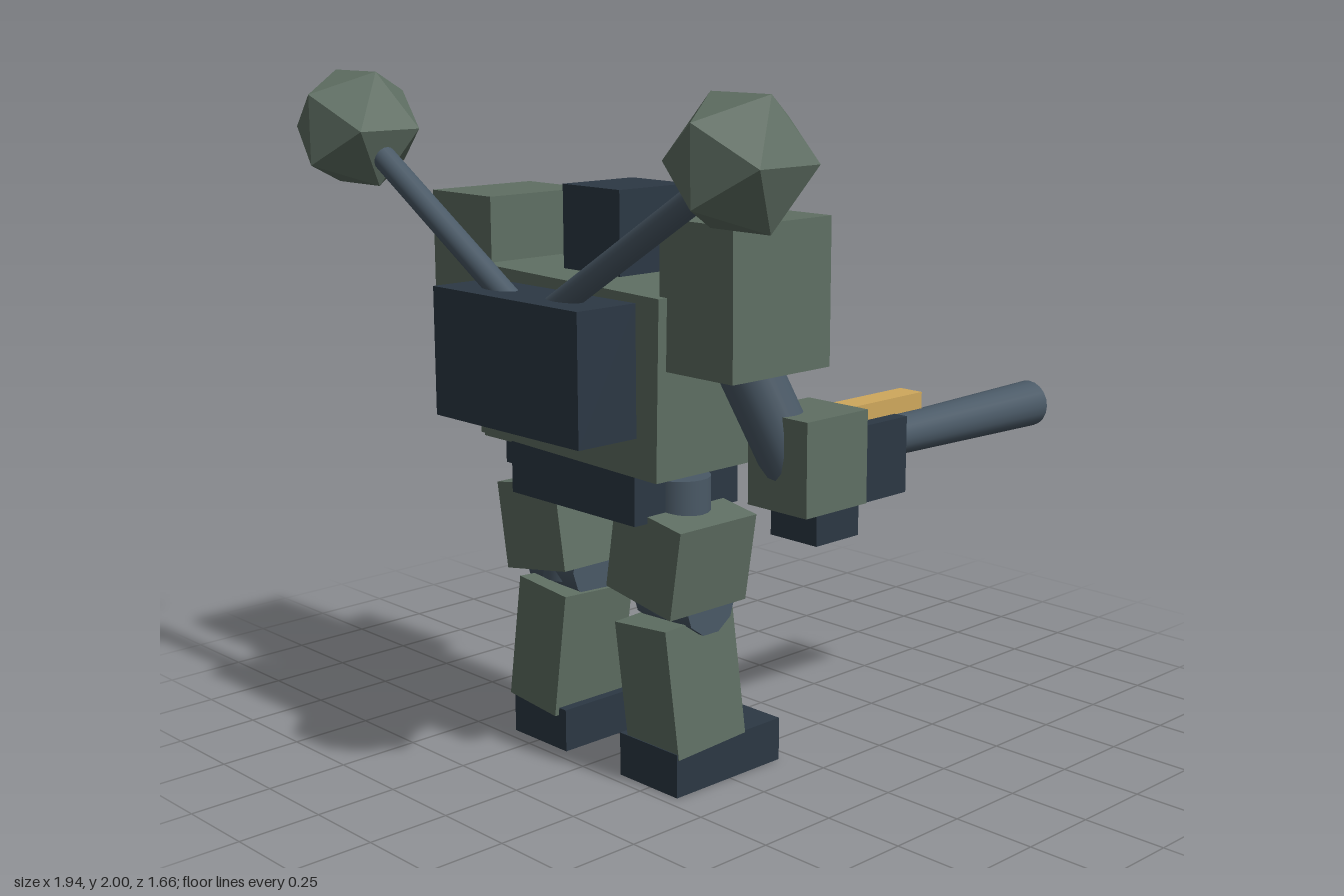
import * as THREE from 'three';

const mat = (color) => new THREE.MeshStandardMaterial({ color });
const green = mat(0x5f6f63), dark = mat(0x2c3844), steel = mat(0x4a5966);
const gold = mat(0xcfa85c), cyan = mat(0x4fbac6);
const ballMat = mat(0x5f6f63);
ballMat.flatShading = true;

export function createModel() {
  const model = new THREE.Group();
  model.name = 'walkerRobot';

  const add = (name, geometry, material, x, y, z) => {
    const mesh = new THREE.Mesh(geometry, material);
    mesh.name = name;
    mesh.position.set(x, y, z);
    model.add(mesh);
    return mesh;
  };
  const box = (name, material, size, pos) =>
    add(name, new THREE.BoxGeometry(...size), material, ...pos);

  // Cylinder running from point a (radius ra) to point b (radius rb)
  const rod = (name, material, a, b, ra, rb = ra, sides = 20) => {
    const from = new THREE.Vector3(...a), to = new THREE.Vector3(...b);
    const dir = to.clone().sub(from);
    const mid = from.clone().add(to).multiplyScalar(0.5);
    const mesh = add(name, new THREE.CylinderGeometry(rb, ra, dir.length(), sides), material, mid.x, mid.y, mid.z);
    mesh.quaternion.setFromUnitVectors(new THREE.Vector3(0, 1, 0), dir.normalize());
    return mesh;
  };

  // Torso, slightly tilted, with a gold plate on each face
  box('torso', green, [0.763, 0.505, 0.435], [0, 1.197, 0.328]).rotation.z = -0.025;
  for (const z of [0.1, 0.55]) {
    box('chestPlate', gold, [0.49, 0.115, 0.03], [0, 1.262, z]).rotation.z = -0.01;
  }
  box('pelvis', dark, [0.535, 0.17, 0.4], [0, 0.875, 0.328]);
  box('backpack', dark, [0.62, 0.37, 0.205], [0, 1.237, 0.66]);

  // Head and visor
  box('head', dark, [0.24, 0.24, 0.265], [0, 1.58, 0.31]);
  box('visor', cyan, [0.19, 0.06, 0.04], [0, 1.59, 0.165]);

  for (const s of [-1, 1]) {
    // Spherical pods on rods rising from the backpack
    rod('podRod', steel, [s * 0.08, 1.385, 0.66], [s * 0.8, 1.83, 0.66], 0.036);
    add('pod', new THREE.IcosahedronGeometry(0.196), ballMat, s * 0.804, 1.833, 0.66);

    // Arm
    box('shoulder', green, [0.275, 0.41, 0.37], [s * 0.497, 1.445, 0.33]);
    rod('shoulderJoint', steel, [s * 0.3, 1.295, 0.328], [s * 0.5, 1.295, 0.328], 0.1);
    rod('upperArm', steel, [s * 0.44, 1.38, 0.355], [s * 0.575, 0.95, 0.21], 0.087);
    box('forearm', green, [0.22, 0.265, 0.242], [s * 0.586, 0.985, 0.176]);
    box('hand', dark, [0.172, 0.14, 0.17], [s * 0.586, 0.828, 0.145]);

    // Leg
    rod('upperLeg', steel, [s * 0.245, 0.9, 0.33], [s * 0.245, 0.5, 0.33], 0.085);
    box('thigh', green, [0.27, 0.263, 0.295], [s * 0.246, 0.68, 0.333]).rotation.z = -s * 0.165;
    rod('kneeJoint', steel, [s * 0.132, 0.545, 0.32], [s * 0.355, 0.545, 0.32], 0.095, 0.095, 10);
    const shin = box('shin', green, [0.213, 0.378, 0.265], [s * 0.243, 0.298, 0.333]);
    shin.rotation.set(s * 0.05, 0, s * 0.09);
    box('foot', dark, [0.24, 0.13, 0.415], [s * 0.242, 0.065, 0.253]);
  }

  // Arm cannon
  box('cannonBody', dark, [0.17, 0.22, 0.215], [0.58, 0.952, -0.04]);
  rod('cannonBarrel', steel, [0.58, 0.985, -0.1], [0.58, 0.985, -0.83], 0.055, 0.07);
  box('cannonSight', gold, [0.08, 0.048, 0.31], [0.58, 1.084, -0.11]);

  return model;
}
